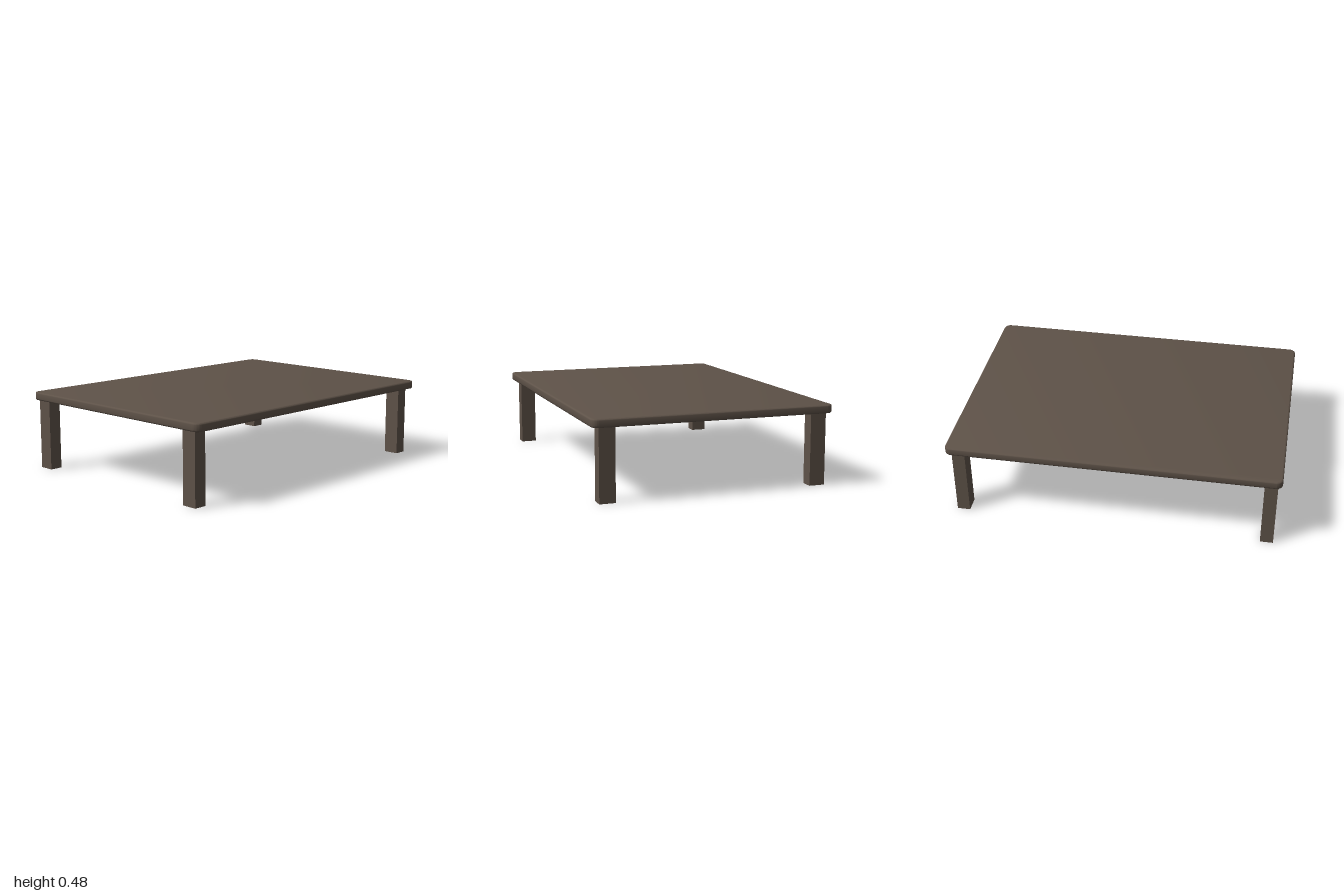
import * as THREE from 'three';
import { toCreasedNormals } from 'three/addons/utils/BufferGeometryUtils.js';

const TOP_Y = 0.48, UNDER_Y = 0.43;

// Rounded rectangle centred on the origin
function roundedRect(w, d, r) {
  const x = w / 2, y = d / 2, s = new THREE.Shape();
  s.absarc(x - r, y - r, r, 0, Math.PI / 2);
  s.absarc(-x + r, y - r, r, Math.PI / 2, Math.PI);
  s.absarc(-x + r, -y + r, r, Math.PI, Math.PI * 1.5);
  s.absarc(x - r, -y + r, r, Math.PI * 1.5, Math.PI * 2);
  s.closePath();
  return s;
}

export function createModel() {
  const model = new THREE.Group();
  model.name = 'lowTable';
  const darkWood = new THREE.MeshStandardMaterial({ color: 0x5e5248 });
  darkWood.name = 'darkWood';

  // Table top: a slab with rounded corners and softened edges
  const bevel = 0.01;
  const slab = new THREE.ExtrudeGeometry(roundedRect(1.456 - 2 * bevel, 2 - 2 * bevel, 0.03), {
    depth: TOP_Y - UNDER_Y - 2 * bevel,
    bevelThickness: bevel, bevelSize: bevel, bevelSegments: 3, curveSegments: 6,
  });
  slab.rotateX(-Math.PI / 2);
  slab.translate(0, UNDER_Y + bevel, 0);
  const top = new THREE.Mesh(toCreasedNormals(slab, 0.6), darkWood);
  top.name = 'tableTop';
  model.add(top);

  // Four square-edged legs, set slightly towards the right and front
  const legGeometry = new THREE.BoxGeometry(0.095, UNDER_Y + 0.005, 0.078);
  legGeometry.translate(0, (UNDER_Y + 0.005) / 2, 0);
  for (const [xName, x] of [['Left', 0.634], ['Right', -0.648]]) {
    for (const [zName, z] of [['front', 0.936], ['back', -0.925]]) {
      const leg = new THREE.Mesh(legGeometry, darkWood);
      leg.name = `${zName}${xName}Leg`;
      leg.position.set(x, 0, z);
      model.add(leg);
    }
  }
  return model;
}
